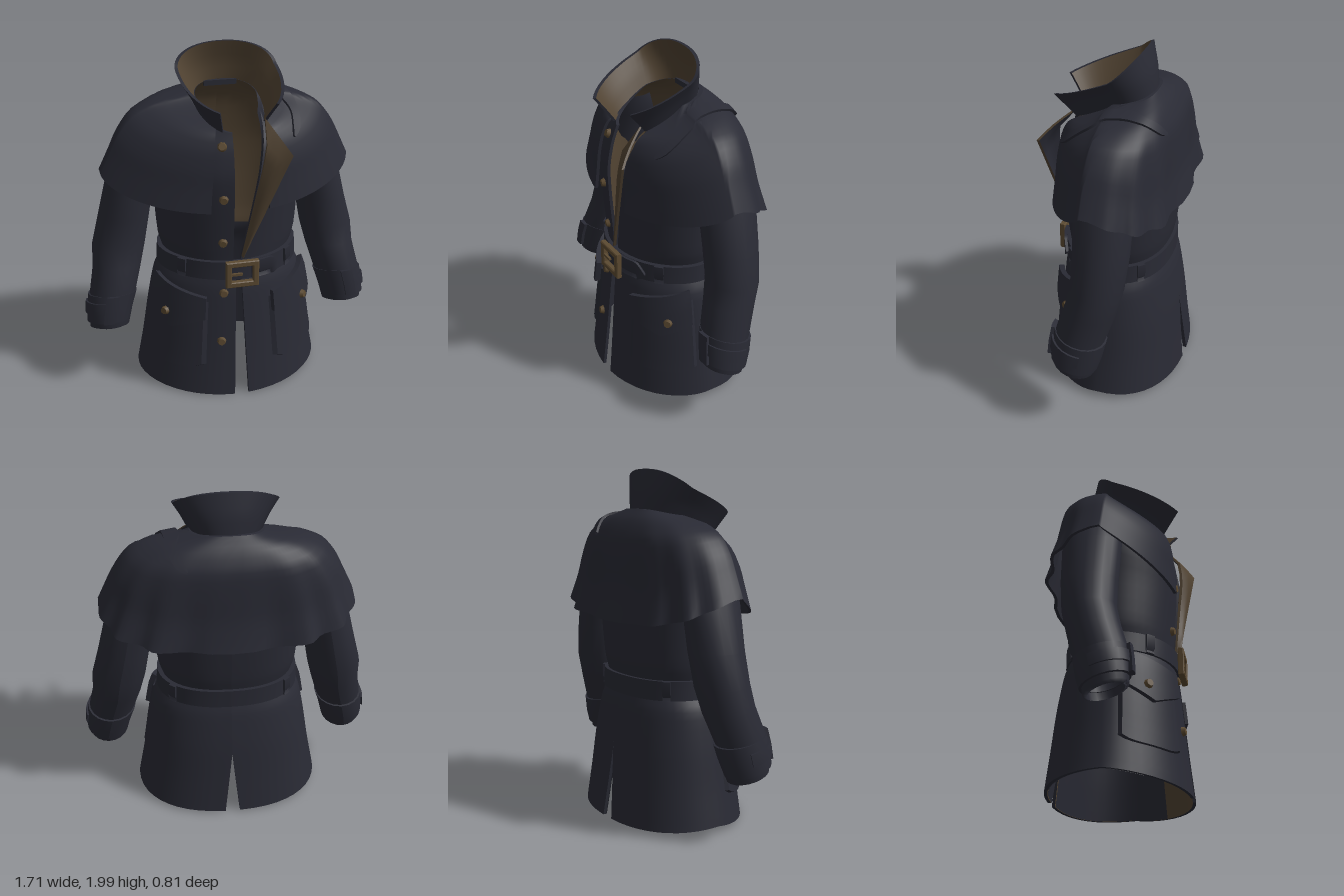
import * as THREE from 'three';
import { mergeGeometries } from 'three/addons/utils/BufferGeometryUtils.js';

const mat = (name, color) => new THREE.MeshStandardMaterial({ name, color, side: THREE.DoubleSide });
const V = (x, y, z) => new THREE.Vector3(x, y, z);
const lerp = THREE.MathUtils.lerp;
const clamp = (x) => Math.min(1, Math.max(0, x));
const deg = Math.PI / 180;

// Grid surface from a function of (u, w) in 0..1
function sheet(f, nu, nw) {
  const pos = [], idx = [];
  for (let j = 0; j <= nw; j++)
    for (let i = 0; i <= nu; i++) pos.push(...f(i / nu, j / nw).toArray());
  for (let j = 0; j < nw; j++)
    for (let i = 0; i < nu; i++) {
      const a = j * (nu + 1) + i, b = a + 1, c = a + nu + 1, d = c + 1;
      idx.push(a, b, d, a, d, c);
    }
  const g = new THREE.BufferGeometry();
  g.setAttribute('position', new THREE.Float32BufferAttribute(pos, 3));
  g.setIndex(idx);
  g.computeVertexNormals();
  return g;
}

// Thick cloth: outer face P and rims in one colour, inner face Q in another
function cloth(name, P, Q, nu, nw, outerMat, innerMat) {
  const mix = (u, w, k) => Q(u, w).lerp(P(u, w), k);
  const outer = mergeGeometries([
    sheet(P, nu, nw),
    sheet((u, k) => mix(u, 0, k), nu, 1),
    sheet((u, k) => mix(u, 1, 1 - k), nu, 1),
    sheet((k, w) => mix(0, w, k), 1, nw),
    sheet((k, w) => mix(1, w, 1 - k), 1, nw),
  ]);
  const g = new THREE.Group();
  g.name = name;
  const a = new THREE.Mesh(outer, outerMat), b = new THREE.Mesh(sheet((u, w) => Q(1 - u, w), nu, nw), innerMat);
  a.name = name + 'Outer';
  b.name = name + 'Inner';
  g.add(a, b);
  return g;
}

// Body of rings [halfWidth, zFront, zBack, yFront, ySide, yBack]; angle 0 faces front, 90 degrees is +x
function ringBody(rings, nBack, frontPow) {
  const size = new THREE.CatmullRomCurve3(rings.map(r => V(r[0], r[1], r[2])), false, 'catmullrom', 0.4);
  const high = new THREE.CatmullRomCurve3(rings.map(r => V(r[3], r[4], r[5])), false, 'catmullrom', 0.4);
  const body = {
    point(a, w, inset = 0) {
      const s = size.getPoint(clamp(w)), h = high.getPoint(clamp(w)), c = Math.cos(a), sn = Math.sin(a);
      const e = c < 0 ? 2 / nBack : 1, k = Math.abs(c);
      return V(Math.sign(sn) * Math.abs(sn) ** e * (s.x - inset),
        h.y + ((c > 0 ? h.x : h.z) - h.y) * k,
        c > 0 ? (s.y - inset) * k ** frontPow : (s.z + inset) * k ** e);
    },
    frontY: (w) => high.getPoint(w).x,
    frontAngle: (x, w) => Math.asin(Math.max(-1, Math.min(1, x / size.getPoint(w).x))),
    backAngle: (x, w) => Math.PI - Math.asin((x / size.getPoint(w).x) ** (nBack / 2)),
    level(y) {
      let lo = 0, hi = 1;
      for (let i = 0; i < 24; i++) { const m = (lo + hi) / 2; if (body.frontY(m) < y) lo = m; else hi = m; }
      return lo;
    },
    normal(a, w) {
      const e = 0.01;
      const du = body.point(a + e, w).sub(body.point(a - e, w));
      return du.cross(body.point(a, w + e).sub(body.point(a, w - e))).normalize();
    },
    raised: (a, w, d) => body.point(a, w).addScaledVector(body.normal(a, w), d),
  };
  return body;
}

export function createModel() {
  const navy = mat('navyCloth', 0x292a34), tan = mat('tanLining', 0x504231), brass = mat('brass', 0x5c4a31);
  const coat = new THREE.Group();
  coat.name = 'coat';

  // Body of the coat in two halves, open at the front and vented at the back
  const torso = ringBody([
    [.55, .40, -.40, .01, .05, .02], [.51, .375, -.375, .24, .26, .24], [.475, .352, -.35, .47, .48, .47],
    [.435, .33, -.315, .68, .68, .68], [.375, .305, -.28, .80, .80, .80], [.405, .31, -.30, .93, .93, .93],
    [.425, .33, -.32, 1.18, 1.2, 1.18], [.45, .335, -.315, 1.36, 1.45, 1.38],
    [.37, .31, -.27, 1.5, 1.64, 1.62], [.19, .275, -.185, 1.6, 1.73, 1.77]], 2.3, 1.15);
  const leftEdge = (y) => y < .85 ? lerp(.045, .01, y / .85) : lerp(.01, .16, clamp((y - .85) / .75));
  const rightEdge = (y) => y < .85 ? lerp(-.04, -.015, y / .85) : -.03;
  const vent = (y) => .045 * clamp(1 - y / .43);
  const half = (s) => (inset) => (u, w) => {
    const y = torso.frontY(w);
    const f = torso.frontAngle((s > 0 ? leftEdge : rightEdge)(y), w), b = s * torso.backAngle(vent(y), w);
    return torso.point(s > 0 ? lerp(f, b, u) : lerp(b, f, u), w, inset);
  };
  for (const s of [1, -1]) {
    coat.add(cloth(s > 0 ? 'leftBody' : 'rightBody', half(s)(0), half(s)(.018), 22, 36, navy, tan));
    // Dark lining behind the front facing of the skirt
    const waist = torso.level(.82);
    const lining = new THREE.Mesh(sheet((u, w) => half(s)(.022)(s > 0 ? lerp(1, .3, u) : lerp(.7, 0, u), w * waist), 16, 16), navy);
    lining.name = 'skirtLining';
    coat.add(lining);
  }

  // Turned-out lapel on the left
  const lapel = (d) => (u, w) => {
    const lv = torso.level(lerp(.88, 1.6, w)), a = torso.frontAngle(leftEdge(torso.frontY(lv)), lv);
    const p = torso.point(a, lv).lerp(V(lerp(.02, .27, w), lerp(.88, 1.5, w), lerp(.325, .4, w)), u);
    p.z += .012 * Math.sin(u * Math.PI) + .09 * w ** 4 * (1 - u) + d;
    return p;
  };
  coat.add(cloth('lapel', lapel(.012), lapel(-.004), 4, 10, tan, navy));

  // Shoulder cape with a scalloped back hem
  const cape = ringBody([
    [.72, .36, -.375, 1.17, 1.335, 1.165], [.66, .35, -.345, 1.3, 1.46, 1.33], [.61, .345, -.335, 1.4, 1.56, 1.48],
    [.53, .33, -.32, 1.5, 1.655, 1.62], [.40, .305, -.265, 1.58, 1.71, 1.72], [.205, .285, -.2, 1.61, 1.745, 1.78]], 2.9, 1.4);
  const capeFace = (inset) => (u, w) => {
    const left = cape.frontAngle(lerp(.165, .178, w), w), right = cape.frontAngle(lerp(.165, .115, w), w);
    const a = lerp(left, 2 * Math.PI - right, u);
    const p = cape.point(a, w, inset);
    const k = 1 + .045 * Math.cos(14 * a) * Math.max(0, -Math.cos(a)) * (1 - w) ** 2;
    p.x *= k;
    p.z *= k;
    return p;
  };
  coat.add(cloth('shoulderCape', capeFace(0), capeFace(.018), 84, 15, navy, navy));

  // Strap over the left shoulder
  const strap = (d) => (u, w) => {
    const a = lerp(38, 162, u) * deg, along = 2 * u - 1;
    const end = Math.max(0, Math.abs(along) - .9) * 10;
    const width = .038 * (1 - .7 * end);
    return cape.raised(a, .9 - .28 * along * along + (w - .5) * 2 * width, d);
  };
  coat.add(cloth('shoulderStrap', strap(.016), strap(.002), 30, 2, navy, navy));

  // Standing collar, closed on the right and pushed open on the left
  const collar = ringBody([
    [.195, .29, -.19, 1.595, 1.73, 1.77], [.235, .34, -.175, 1.66, 1.81, 1.88], [.285, .40, -.14, 1.735, 1.89, 2.0]], 2.2, 1);
  const collarFace = (inset) => (u, w) => {
    const a = lerp(lerp(.75, .62, w) - 2 * Math.PI, -.43, u), p = collar.point(a, w, inset);
    if (Math.sin(a) > 0) p.x += .055 * Math.max(0, Math.cos(a));
    return p;
  };
  coat.add(cloth('collar', collarFace(0), collarFace(.018), 44, 6, navy, tan));
  const loop = new THREE.Mesh(new THREE.BoxGeometry(.19, .03, .02), navy);
  loop.name = 'hangingLoop';
  loop.position.set(0, 1.755, -.155);
  coat.add(loop);

  // Button seated on the torso
  const button = (x, y, lift) => {
    const w = torso.level(y), a = torso.frontAngle(x, w);
    const b = new THREE.Mesh(new THREE.CylinderGeometry(.02, .028, .022, 8), brass);
    b.name = 'button';
    b.position.copy(torso.raised(a, w, lift));
    b.quaternion.setFromUnitVectors(V(0, 1, 0), torso.normal(a, w));
    coat.add(b);
  };
  for (const y of [1.53, 1.24, .97, .66, .36]) button(y > .5 ? -.09 : -.11, y, .008);

  // Patch pockets and pointed flaps
  for (const s of [1, -1]) {
    const patch = (a0, a1, top, bottom, d) => (u, w) => {
      const k = s > 0 ? u : 1 - u;
      return torso.raised(s * lerp(a0, a1, k) * deg, torso.level(lerp(bottom(k), top(k), w)), d);
    };
    const pocketBase = k => .18 + .03 * (2 * k - 1) ** 4, pocketTop = k => .6 + .05 * k;
    coat.add(cloth('pocket', patch(26, 74, pocketTop, pocketBase, .016), patch(23, 77, pocketTop, pocketBase, 0), 10, 6, navy, navy));
    const flapTop = k => .64 + .07 * k, flapBase = k => .51 - .08 * (1 - Math.abs(2 * k - 1));
    coat.add(cloth('pocketFlap', patch(24, 74, flapTop, flapBase, .042), patch(24, 74, flapTop, flapBase, .01), 10, 4, navy, navy));
    button(s * .38, .52, .05);
  }

  // Belt, its loops and its free end
  const beltRing = ringBody([[.415, .33, -.305, .745, .745, .74], [.41, .328, -.305, .855, .85, .85]], 2.3, 1.15);
  const beltFace = (inset) => (u, w) => beltRing.point(lerp(-Math.PI, Math.PI, u), w, inset);
  coat.add(cloth('belt', beltFace(0), beltFace(.03), 48, 2, navy, navy));
  const beltPatch = (name, a0, a1, d, pointed) => {
    const f = (k) => (u, w) => {
      const width = pointed ? .95 - Math.max(0, u - .7) * 3 : 1;
      return beltRing.raised(lerp(a0, a1, u) * deg, .5 + (w - .5) * width, k);
    };
    coat.add(cloth(name, f(d), f(-.01), 8, 2, navy, navy));
  };
  beltPatch('beltEnd', 10, 36, .016, true);
  for (const a of [48, -48, 130, -130]) beltPatch('beltLoop', a - 4, a + 4, .014, false);

  // Buckle frame and prong
  const corners = (x, y) => [[-x, -y], [x, -y], [x, y], [-x, y]].map(p => new THREE.Vector2(...p));
  const frame = new THREE.Shape(corners(.09, .075));
  frame.holes.push(new THREE.Path(corners(.067, .052).reverse()));
  const buckle = new THREE.Mesh(new THREE.ExtrudeGeometry(frame,
    { depth: .025, bevelEnabled: true, bevelSize: .005, bevelThickness: .005, bevelSegments: 1 }), brass);
  buckle.name = 'buckle';
  buckle.position.set(.01, .79, .338);
  const prong = new THREE.Mesh(new THREE.BoxGeometry(.09, .014, .014), brass);
  prong.name = 'buckleProng';
  prong.position.set(-.035, .79, .357);
  coat.add(buckle, prong);

  // Sleeve sections [x, y, z, radiusX, radiusZ, tilt], from the inside of the cuff up to the shoulder
  const sleeveRows = [
    [.69, .56, .02, 0, 0, 0], [.69, .55, .02, .09, .1, .3], [.72, .375, .05, .09, .095, .3], [.72, .385, .05, .115, .115, .3],
    [.69, .58, .02, .135, .135, .25], [.65, .74, -.03, .142, .14, .2], [.63, .87, -.06, .155, .145, .1],
    [.59, 1.05, -.07, .147, .155, 0], [.54, 1.3, -.07, .135, .165, 0], [.46, 1.48, -.07, .13, .15, 0], [.40, 1.6, -.06, .08, .1, 0]];
  const cuffRows = [[.725, .42, .045, .125, .13, .28], [.71, .5, .03, .135, .14, .27], [.69, .585, .015, .143, .143, .25]];
  const tube = (rows, grow = 0, a0 = -Math.PI, a1 = Math.PI) => (u, w) => {
    const t = w * (rows.length - 1), i = Math.min(rows.length - 2, Math.floor(t + 1e-6));
    const r = rows[i].map((v, k) => lerp(v, rows[i + 1][k], t - i)), a = lerp(a0, a1, u);
    const dx = Math.sin(a) * (r[3] + grow), dz = Math.cos(a) * (r[4] + grow);
    return V(r[0] + dx, r[1] + dz * r[5], r[2] + dz);
  };
  const cuffStrap = (grow) => (u, w) => tube(cuffRows, grow, .2, 1.9)(u, .35 + .4 * w);
  for (const s of [1, -1]) {
    const arm = new THREE.Group();
    arm.name = s > 0 ? 'leftArm' : 'rightArm';
    arm.scale.x = s;
    const sleeve = new THREE.Mesh(sheet(tube(sleeveRows), 20, sleeveRows.length - 1), navy);
    sleeve.name = 'sleeve';
    arm.add(sleeve, cloth('cuff', tube(cuffRows), tube(cuffRows, -.03), 20, 2, navy, navy));
    arm.add(cloth('cuffTab', tube(cuffRows, .02, -.15, .3), tube(cuffRows, -.01, -.15, .3), 4, 2, navy, navy));
    arm.add(cloth('cuffStrap', cuffStrap(.01), cuffStrap(-.01), 8, 2, navy, navy));
    coat.add(arm);
  }
  return coat;
}
